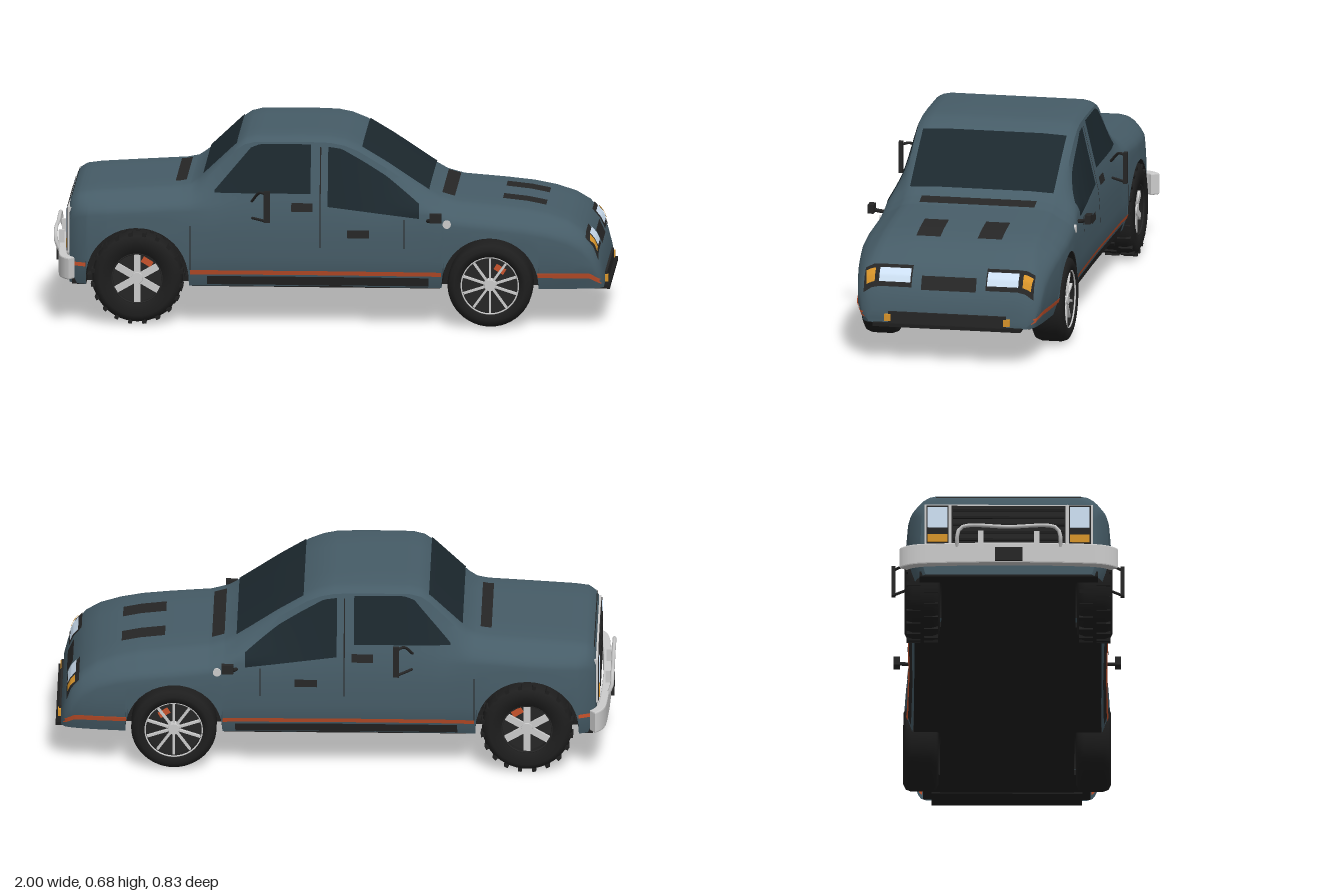
import * as THREE from 'three';
import { toCreasedNormals } from 'three/addons/utils/BufferGeometryUtils.js';

const mat = (color) => new THREE.MeshStandardMaterial({ color, side: THREE.DoubleSide });
const paint = mat(0x465c67), glass = mat(0x1c282e), black = mat(0x262626), rubber = mat(0x1e1e1e);
const orange = mat(0xc9532c), chrome = mat(0xcccccc), amber = mat(0xd9952a), lamp = mat(0xcfe2f5);

// Piecewise linear lookup in a list of [x, value]
function table(points) {
  return (x) => {
    let i = 1;
    while (i < points.length - 1 && x > points[i][0]) i++;
    const [x0, a] = points[i - 1], [x1, b] = points[i];
    return a + (b - a) * THREE.MathUtils.clamp((x - x0) / (x1 - x0), 0, 1);
  };
}

// Body outline: roof line, half width at the doors, half width of the top surface
const roofPts = [[-0.935, 0.435], [-0.925, 0.452], [-0.9, 0.465], [-0.85, 0.472], [-0.7, 0.482], [-0.54, 0.492],
  [-0.5, 0.5], [-0.47, 0.52], [-0.43, 0.558], [-0.34, 0.645], [-0.31, 0.666], [-0.27, 0.676], [-0.1, 0.678],
  [0, 0.675], [0.05, 0.665], [0.1, 0.645], [0.2, 0.585], [0.35, 0.485], [0.39, 0.462], [0.45, 0.445], [0.6, 0.432],
  [0.7, 0.421], [0.78, 0.405], [0.85, 0.382], [0.9, 0.352], [0.94, 0.305], [0.965, 0.25], [0.98, 0.195]];
const roofY = table(roofPts);
const width = table([[-0.935, 0.315], [-0.915, 0.338], [-0.87, 0.357], [-0.8, 0.366], [-0.69, 0.37], [-0.55, 0.365],
  [-0.42, 0.357], [0, 0.353], [0.35, 0.357], [0.5, 0.365], [0.6, 0.368], [0.72, 0.364], [0.85, 0.35],
  [0.93, 0.338], [0.965, 0.325], [0.98, 0.305]]);
const topHalf = table([[-0.935, 0.285], [-0.9, 0.305], [-0.5, 0.3], [-0.3, 0.288], [0.3, 0.288], [0.5, 0.295],
  [0.8, 0.305], [0.94, 0.315], [0.98, 0.285]]);
const axles = [{ x: -0.69, y: 0.168, r: 0.184 }, { x: 0.575, y: 0.155, r: 0.173 }];

function sillY(x) {
  let y = 0.14;
  for (const a of axles) {
    const d = Math.abs(x - a.x);
    if (d <= a.r) y = Math.max(y, a.y + Math.sqrt(a.r * a.r - d * d));
  }
  return y;
}
const beltY = (x) => Math.max(0.15, Math.min(0.41, roofY(x) - 0.08));

// Side surface z at (x, y)
function sideZ(x, y) {
  const belt = beltY(x), tuck = (h) => (h < 0.2 ? 0.94 + 0.06 * (h - 0.135) / 0.065
    : h < 0.32 ? 1 : 1 - 0.02 * Math.min(1, (h - 0.32) / 0.09));
  if (y <= belt) return width(x) * tuck(y);
  const low = width(x) * tuck(belt), t = Math.min(1, (y - belt) / (roofY(x) - 0.02 - belt));
  const p = THREE.MathUtils.lerp(2, 1, THREE.MathUtils.clamp((roofY(x) - 0.46) / 0.12, 0, 1));
  return low + (topHalf(x) - low) * t ** p;
}
// Top surface y at (x, z)
const topY = (x, z) => roofY(x) - 0.02 * Math.max(0, (Math.abs(z) - topHalf(x) + 0.05) / 0.05) ** 2;

// Cross-sections joined along x, with closed ends
function bodyGeometry() {
  const xs = roofPts.map((p) => p[0]);
  for (let x = -0.9; x < 0.95; x += 0.05) xs.push(x);
  for (const a of axles) {
    xs.push(a.x - a.r - 0.001, a.x + a.r + 0.001);
    for (let i = 0; i <= 20; i++) xs.push(a.x + a.r * 0.9999 * Math.cos(Math.PI * i / 20));
  }
  xs.sort((a, b) => a - b);
  const pos = [], idx = [];
  let n = 0;
  for (const x of xs) {
    const half = [], sill = sillY(x), belt = beltY(x), edge = roofY(x) - 0.02;
    for (const f of [0, 0.2, 0.4, 0.7]) half.push(sill + (belt - sill) * f);
    for (const f of [0, 0.2, 0.4, 0.6, 0.8]) half.push(belt + (edge - belt) * f);
    const ring = half.map((y) => [y, sideZ(x, y)]);
    for (const d of [0, 0.012, 0.025, 0.05, 0.17]) ring.push([topY(x, topHalf(x) - d), topHalf(x) - d]);
    const full = [...ring, [roofY(x), 0], ...ring.slice().reverse().map(([y, z]) => [y, -z])];
    n = full.length;
    for (const [y, z] of full) pos.push(x, y, z);
  }
  for (let i = 0; i < xs.length - 1; i++) for (let j = 0; j < n - 1; j++) {
    const a = i * n + j, b = a + n;
    idx.push(a, b, b + 1, a, b + 1, a + 1);
  }
  const last = (xs.length - 1) * n, c = xs.length * n;
  pos.push(xs[0], 0.25, 0, xs[xs.length - 1], 0.16, 0);
  for (let j = 0; j < n; j++) {
    const k = (j + 1) % n;
    idx.push(c, j, k, c + 1, last + k, last + j);
  }
  const g = new THREE.BufferGeometry();
  g.setAttribute('position', new THREE.Float32BufferAttribute(pos, 3));
  g.setIndex(idx);
  return toCreasedNormals(g, 0.6);
}

export function createModel() {
  const car = new THREE.Group();
  car.name = 'doubleFrontedCar';
  function add(name, geo, m, x = 0, y = 0, z = 0, parent = car) {
    const mesh = new THREE.Mesh(geo, m);
    mesh.name = name;
    mesh.position.set(x, y, z);
    parent.add(mesh);
    return mesh;
  }
  const box = (name, m, w, h, d, x, y, z, parent) => add(name, new THREE.BoxGeometry(w, h, d), m, x, y, z, parent);
  const rod = (name, m, pts, r) => add(name, new THREE.TubeGeometry(
    new THREE.CatmullRomCurve3(pts.map((p) => new THREE.Vector3(...p))), 24, r, 8), m);
  // Thin sheet whose points follow rule(u, v)
  function sheet(name, m, rule, nu = 12, nv = 6) {
    const g = new THREE.PlaneGeometry(1, 1, nu, nv), p = g.attributes.position;
    for (let i = 0; i < p.count; i++) p.setXYZ(i, ...rule(p.getX(i) + 0.5, p.getY(i) + 0.5));
    g.computeVertexNormals();
    add(name, g, m);
  }
  // Sheet on both flanks between a lower and an upper edge
  function flank(name, m, x0, x1, lo, hi, off = 0.003) {
    const at = (e, x) => (typeof e === 'number' ? e : e(x));
    for (const s of [1, -1]) sheet(name, m, (u, v) => {
      const x = x0 + (x1 - x0) * u, y = THREE.MathUtils.lerp(at(lo, x), at(hi, x), v);
      return [x, y, s * (sideZ(x, y) + off)];
    }, 24);
  }
  // Sheet on the top surface; z1b is the outer z at x1
  function topPanel(name, m, x0, x1, z0, z1, off = 0.004, z1b = z1) {
    sheet(name, m, (u, v) => {
      const x = x0 + (x1 - x0) * u, z = z0 + (THREE.MathUtils.lerp(z1, z1b, u) - z0) * v;
      const slope = (roofY(x + 0.004) - roofY(x - 0.004)) / 0.008, l = Math.hypot(1, slope);
      return [x - off * slope / l, topY(x, z) + off / l, z];
    });
  }

  add('body', bodyGeometry(), paint);

  // Underside
  box('floor', rubber, 1.88, 0.02, 0.48, 0.01, 0.145, 0);
  box('floorMiddle', rubber, 0.89, 0.02, 0.67, -0.05, 0.147, 0);
  box('floorTruckEnd', rubber, 0.05, 0.02, 0.64, -0.9, 0.147, 0);
  box('floorNose', rubber, 0.21, 0.02, 0.6, 0.86, 0.147, 0);

  // Glass
  topPanel('sportWindscreen', glass, 0.11, 0.35, -0.262, 0.262);
  topPanel('truckWindscreen', glass, -0.455, -0.335, -0.265, 0.265);
  flank('truckSideWindow', glass, -0.415, -0.07, 0.477, table([[-0.415, 0.485], [-0.285, 0.637], [-0.25, 0.65], [-0.07, 0.65]]));
  flank('sportSideWindow', glass, -0.008, 0.32, table([[-0.008, 0.432], [0.32, 0.394]]),
    table([[-0.008, 0.642], [0.04, 0.635], [0.12, 0.59], [0.2, 0.54], [0.32, 0.445]]));

  // Flank trim
  flank('sideStripe', orange, -0.5, 0.4, 0.184, 0.2);
  flank('noseStripe', orange, 0.745, 0.972, table([[0.745, 0.184], [0.93, 0.18], [0.972, 0.155]]),
    table([[0.745, 0.202], [0.93, 0.2], [0.972, 0.172]]));
  flank('truckStripe', orange, -0.93, -0.875, 0.208, 0.222);
  flank('rockerTrim', black, -0.44, 0.355, 0.146, 0.178, 0.006);
  flank('doorSeam', black, -0.037, -0.033, 0.285, 0.64, 0.002);
  flank('truckDoorSeam', black, -0.502, -0.499, 0.2, 0.36, 0.002);
  flank('sportDoorSeam', black, 0.265, 0.268, 0.285, 0.39, 0.002);
  flank('truckDoorHandle', black, -0.138, -0.062, 0.415, 0.445, 0.006);
  flank('sportDoorHandle', black, 0.062, 0.142, 0.322, 0.35, 0.006);

  // Bonnet vents
  topPanel('truckCowlVent', black, -0.56, -0.52, -0.205, 0.205);
  topPanel('sportCowlVent', black, 0.395, 0.44, -0.21, 0.21);

  // Sport nose
  topPanel('noseGrille', black, 0.938, 0.96, -0.1, 0.1);
  box('airDam', black, 0.02, 0.045, 0.43, 0.978, 0.161, 0);
  box('frontLip', rubber, 0.1, 0.012, 0.54, 0.95, 0.136, 0);

  for (const s of [1, -1]) {
    topPanel('bonnetVent', black, 0.61, 0.765, s * 0.068, s * 0.156);
    topPanel('headlampBezel', black, 0.912, 0.957, s * 0.135, s * 0.31);
    topPanel('headlamp', lamp, 0.922, 0.95, s * 0.14, s * 0.254, 0.008);
    topPanel('noseIndicator', amber, 0.924, 0.95, s * 0.27, s * 0.306, 0.008, s * 0.3);
    box('fogIndicator', amber, 0.024, 0.025, 0.024, 0.98, 0.161, s * 0.217);

    // Truck end lamps
    box('truckLampFrame', chrome, 0.016, 0.165, 0.092, -0.935, 0.33, s * 0.255);
    box('truckLampPanel', black, 0.016, 0.155, 0.08, -0.938, 0.33, s * 0.255);
    box('truckHeadlamp', lamp, 0.016, 0.08, 0.07, -0.941, 0.36, s * 0.255);
    box('truckIndicator', amber, 0.016, 0.03, 0.07, -0.941, 0.278, s * 0.255);
    box('bumperGuard', chrome, 0.02, 0.07, 0.02, -0.975, 0.255, s * 0.1);

    // Mirrors
    box('truckMirror', black, 0.022, 0.115, 0.014, -0.222, 0.443, s * 0.41);
    for (const y of [0.488, 0.39]) {
      rod('truckMirrorArm', black, [[-0.28, Math.min(y, 0.45), s * 0.345], [-0.25, y, s * 0.38], [-0.222, y, s * 0.41]], 0.005);
    }
    box('sportMirror', black, 0.042, 0.032, 0.022, 0.382, 0.405, s * 0.396);
    rod('sportMirrorArm', black, [[0.35, 0.385, s * 0.345], [0.36, 0.39, s * 0.37], [0.378, 0.4, s * 0.395]], 0.007);
    const cap = add('fuelCap', new THREE.CylinderGeometry(0.015, 0.015, 0.008, 20), chrome, 0.42, 0.375, s * 0.355);
    cap.rotation.x = Math.PI / 2;
  }

  // Truck grille and bumper
  box('truckGrilleFrame', chrome, 0.014, 0.165, 0.42, -0.935, 0.33, 0);
  box('truckGrille', black, 0.016, 0.153, 0.408, -0.938, 0.33, 0);
  for (let i = 0; i < 5; i++) box('grilleBar', rubber, 0.008, 0.008, 0.4, -0.947, 0.272 + i * 0.029, 0);
  sheet('bonnetEdgeSeam', black, (u, v) => [-0.9275 - v * 0.003, 0.45 - v * 0.005, (u - 0.5) * 0.52]);
  const bar = new THREE.Shape();
  bar.moveTo(-0.385, -0.935);
  bar.quadraticCurveTo(-0.36, -0.965, -0.3, -0.97);
  bar.quadraticCurveTo(0, -0.992, 0.3, -0.97);
  bar.quadraticCurveTo(0.36, -0.965, 0.385, -0.935);
  bar.lineTo(0.365, -0.92);
  bar.quadraticCurveTo(0.34, -0.945, 0.28, -0.95);
  bar.quadraticCurveTo(0, -0.97, -0.28, -0.95);
  bar.quadraticCurveTo(-0.34, -0.945, -0.365, -0.92);
  const barGeo = new THREE.ExtrudeGeometry(bar, { depth: 0.07, bevelEnabled: true, bevelSize: 0.004, bevelThickness: 0.005, bevelSegments: 2 });
  barGeo.applyMatrix4(new THREE.Matrix4().set(0, 1, 0, 0, 0, 0, 1, 0, 1, 0, 0, 0, 0, 0, 0, 1));
  add('bumper', barGeo, chrome, 0, 0.17, 0);
  rod('pushBar', chrome, [[-0.975, 0.23, 0.185], [-0.99, 0.265, 0.185], [-0.992, 0.3, 0.17], [-0.992, 0.302, 0],
    [-0.992, 0.3, -0.17], [-0.99, 0.265, -0.185], [-0.975, 0.23, -0.185]], 0.007);
  box('plate', black, 0.012, 0.05, 0.1, -0.99, 0.195, 0);

  // Wheels in their arches
  axles.forEach((a, end) => {
    const truck = end === 0, R = truck ? 0.161 : 0.153, rim = truck ? 0.092 : 0.105;
    for (const s of [1, -1]) {
      const liner = new THREE.CylinderGeometry(a.r, a.r, 0.125, 32, 1, true, Math.PI / 2, Math.PI).rotateX(Math.PI / 2);
      add('archLiner', liner, rubber, a.x, a.y, s * 0.298);
      add('archWall', new THREE.CircleGeometry(a.r, 32, 0, Math.PI), rubber, a.x, a.y, s * 0.237);
      const wheel = new THREE.Group();
      wheel.name = truck ? 'truckWheel' : 'sportWheel';
      wheel.position.set(a.x, a.y, s * 0.309);
      if (s < 0) wheel.rotation.y = Math.PI;
      car.add(wheel);
      const profile = [[rim, -0.058], [R - 0.025, -0.063], [R - 0.007, -0.054], [R, -0.035], [R, 0.035], [R - 0.007, 0.054],
        [R - 0.025, 0.063], [rim, 0.06], [rim - 0.004, 0.03]].map((p) => new THREE.Vector2(...p));
      add('tyre', new THREE.LatheGeometry(profile, 48).rotateX(Math.PI / 2), rubber, 0, 0, 0, wheel);
      add('rimDisc', new THREE.CylinderGeometry(rim, rim, 0.08, 32).rotateX(Math.PI / 2), black, 0, 0, -0.01, wheel);
      add('rimEdge', new THREE.TorusGeometry(rim - 0.002, 0.003, 8, 40), truck ? black : chrome, 0, 0, 0.056, wheel);
      add('hub', new THREE.CylinderGeometry(0.02, 0.024, 0.022, 20).rotateX(Math.PI / 2), chrome, 0, 0, 0.042, wheel);
      const caliper = box('caliper', orange, 0.04, 0.022, 0.006, s * 0.035, 0.056, 0.032, wheel);
      caliper.rotation.z = -s * 0.55;
      const count = truck ? 6 : 10;
      for (let i = 0; i < count; i++) {
        const spoke = box('spoke', chrome, rim - 0.02, truck ? 0.024 : 0.008, 0.012, 0, 0, 0.042, wheel);
        spoke.geometry.translate((rim + 0.01) / 2, 0, 0);
        spoke.rotation.z = Math.PI / 2 + i * Math.PI * 2 / count;
      }
      // Tread blocks on the truck tyres
      if (truck) for (let i = 0; i < 40; i++) {
        const lug = box('treadLug', rubber, 0.014, 0.014, 0.05, 0, 0, i % 2 ? 0.031 : -0.031, wheel);
        lug.geometry.translate(R - 0.001, 0, 0);
        lug.rotation.z = i * Math.PI / 20;
      }
    }
  });
  return car;
}
